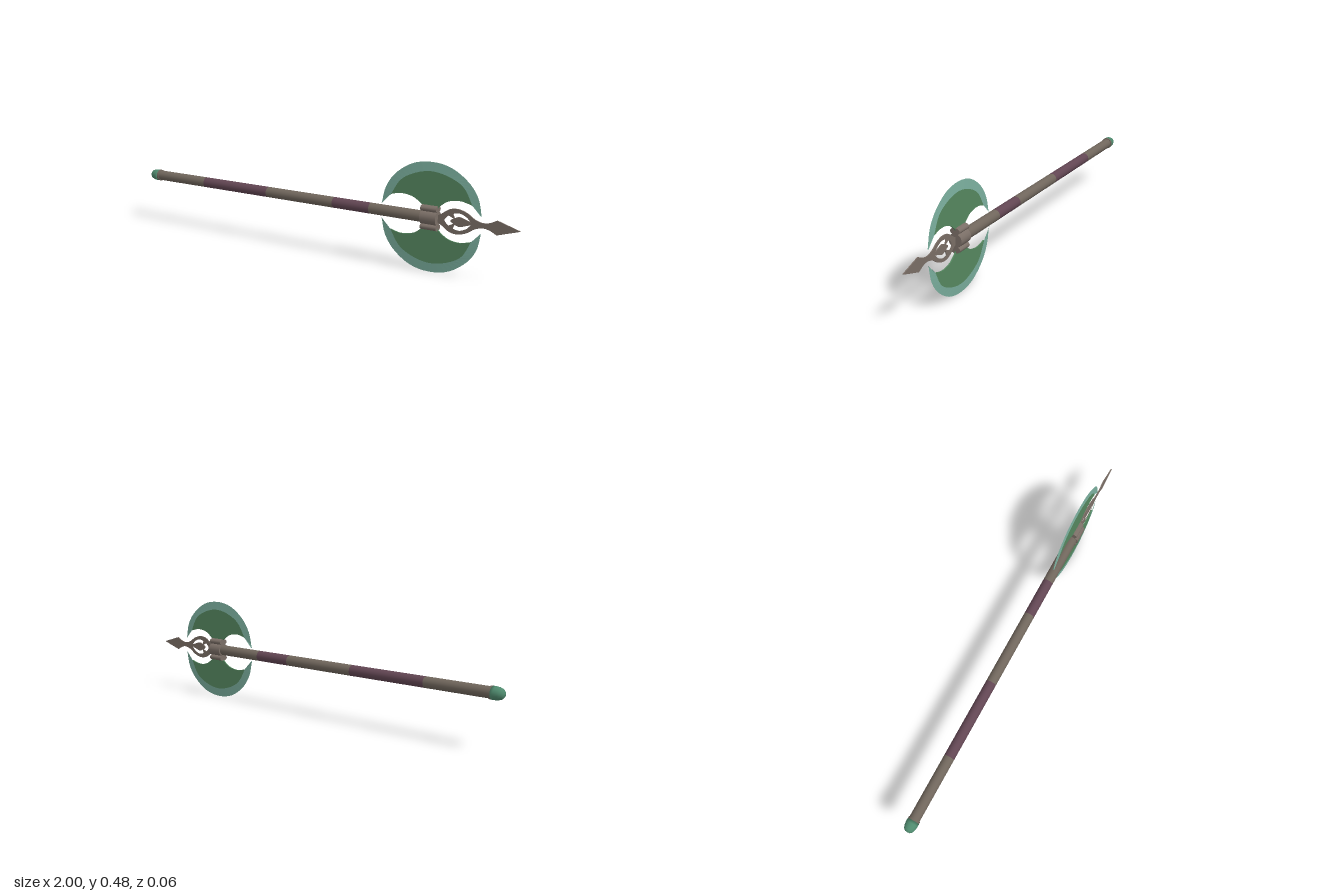
import * as THREE from 'three';

const mat = (name, color) => Object.assign(new THREE.MeshStandardMaterial({ color }), { name });
const V = ([x, y]) => new THREE.Vector2(x, y);
const smooth = (pts, n) => new THREE.SplineCurve(pts.map(V)).getPoints(n);

export function createModel() {
  const wood = mat('brown wood', 0x70665c);
  const wrap = mat('purple wrap', 0x624653);
  const metal = mat('grey brown metal', 0x7a6e66);
  const green = mat('dark green blade', 0x55875f);
  const edge = mat('pale green edge', 0x7aae9d);
  const capGreen = mat('cap green', 0x4f8a6e);

  const model = new THREE.Group();
  const axe = new THREE.Group();
  axe.name = 'poleaxe';
  axe.position.y = 0.24;
  model.add(axe);

  const add = (parent, name, geo, material) => {
    const m = new THREE.Mesh(geo, material);
    m.name = name;
    parent.add(m);
    return m;
  };
  // cylinder lying along x
  const rod = (name, x0, x1, r, material) => {
    const g = new THREE.CylinderGeometry(r, r, x1 - x0, 20).rotateZ(-Math.PI / 2);
    const m = add(axe, name, g, material);
    m.position.x = (x0 + x1) / 2;
    return m;
  };
  // flat plate centred on z = 0
  const plate = (shape, depth) =>
    new THREE.ExtrudeGeometry(shape, { depth, bevelEnabled: false, curveSegments: 16 }).translate(0, 0, -depth / 2);

  // shaft in alternating sections
  [[-0.945, -0.635], [-0.635, -0.25], [-0.25, 0.12], [0.12, 0.31], [0.31, 0.57]].forEach(([a, b], i) =>
    rod(i % 2 ? 'gripWrap' : 'shaftSection', a, b, 0.0245, i % 2 ? wrap : wood));

  // domed end cap with its ring
  const dome = [[0, -1], [0.012, -0.998], [0.021, -0.99], [0.026, -0.976], [0.028, -0.96], [0.028, -0.947], [0, -0.947]];
  add(axe, 'endCap', new THREE.LatheGeometry(dome.map(V), 20).rotateZ(-Math.PI / 2), capGreen);
  rod('capRing', -0.947, -0.937, 0.0275, wood);

  // collar: round core with a flattened lobe above and below
  rod('collar', 0.563, 0.637, 0.0305, metal);
  for (const s of [1, -1]) {
    const lobe = rod('collarLobe', 0.563, 0.637, 1, metal);
    lobe.scale.set(1, 0.0145, 0.023);
    lobe.position.y = s * 0.04;
  }

  // blades
  const n = 28, t = 0.003;
  const tipL = [0.366, 0.032], tipR = [0.832, 0.035];
  const outer = smooth([tipL, [0.383, 0.105], [0.43, 0.172], [0.51, 0.224], [0.6, 0.2395],
    [0.69, 0.224], [0.77, 0.172], [0.815, 0.11], tipR], n + 2);
  const border = smooth([[0.412, 0.078], [0.455, 0.145], [0.52, 0.183], [0.6, 0.2],
    [0.68, 0.186], [0.75, 0.148], [0.79, 0.078]], n);
  const innerR = smooth([[0.79, 0.078], [0.735, 0.09], [0.68, 0.08], [0.638, 0.05]], 10);
  const innerL = smooth([[0.564, 0.05], [0.52, 0.08], [0.46, 0.089], [0.412, 0.078]], 10);
  const bladeShape = new THREE.Shape([...border, ...innerR.slice(1), V([0.63, 0.01]), V([0.57, 0.01]), ...innerL.slice(0, -1)]);

  // sharpened rim tapering from the blade body to a thin edge
  const rimInner = [V(tipL), ...border, V(tipR)];
  const pos = [];
  const tri = (...c) => c.forEach(([p, z]) => pos.push(p.x, p.y, z));
  for (let i = 0; i < n + 2; i++) {
    const [b0, b1, o0, o1] = [rimInner[i], rimInner[i + 1], outer[i], outer[i + 1]];
    tri([b0, t], [b1, t], [o1, 0]);
    tri([b0, t], [o1, 0], [o0, 0]);
    tri([b1, -t], [b0, -t], [o1, 0]);
    tri([o1, 0], [b0, -t], [o0, 0]);
  }
  const rim = new THREE.BufferGeometry();
  rim.setAttribute('position', new THREE.Float32BufferAttribute(pos, 3));
  rim.computeVertexNormals();

  for (const name of ['upperBlade', 'lowerBlade']) {
    const blade = new THREE.Group();
    blade.name = name;
    if (name === 'lowerBlade') blade.rotation.x = Math.PI;
    add(blade, 'bladeBody', plate(bladeShape, 2 * t), green);
    add(blade, 'bladeEdge', rim, edge);
    axe.add(blade);
  }

  // flat spear: oval openwork ring, narrow neck and diamond point
  const mirrored = (half) => [...half, ...half.map((p) => V([p.x, -p.y])).reverse()];
  const ringHalf = smooth([[0.63, 0.012], [0.655, 0.026], [0.69, 0.049], [0.73, 0.054], [0.77, 0.042],
    [0.805, 0.02], [0.84, 0.011], [0.87, 0.016], [0.9, 0.031]], 40);
  const spear = new THREE.Shape(mirrored([...ringHalf, V([0.998, 0.001])]));
  spear.holes.push(new THREE.Path(mirrored(
    smooth([[0.668, 0.004], [0.69, 0.024], [0.73, 0.037], [0.765, 0.026], [0.788, 0.004]], 20))));
  add(axe, 'spearPoint', plate(spear, 0.005), metal);

  // leaf inside the ring, with two barbs
  const leaf = new THREE.Shape(mirrored([
    ...smooth([[0.695, 0.003], [0.712, 0.013], [0.735, 0.021], [0.76, 0.014], [0.795, 0.003]], 20)]));
  add(axe, 'spearLeaf', plate(leaf, 0.005), metal);
  for (const s of [1, -1]) {
    const barb = new THREE.Shape([[0.678, s * 0.026], [0.705, s * 0.034], [0.715, s * 0.008]].map(V));
    add(axe, 'spearBarb', plate(barb, 0.004), metal);
  }
  return model;
}
